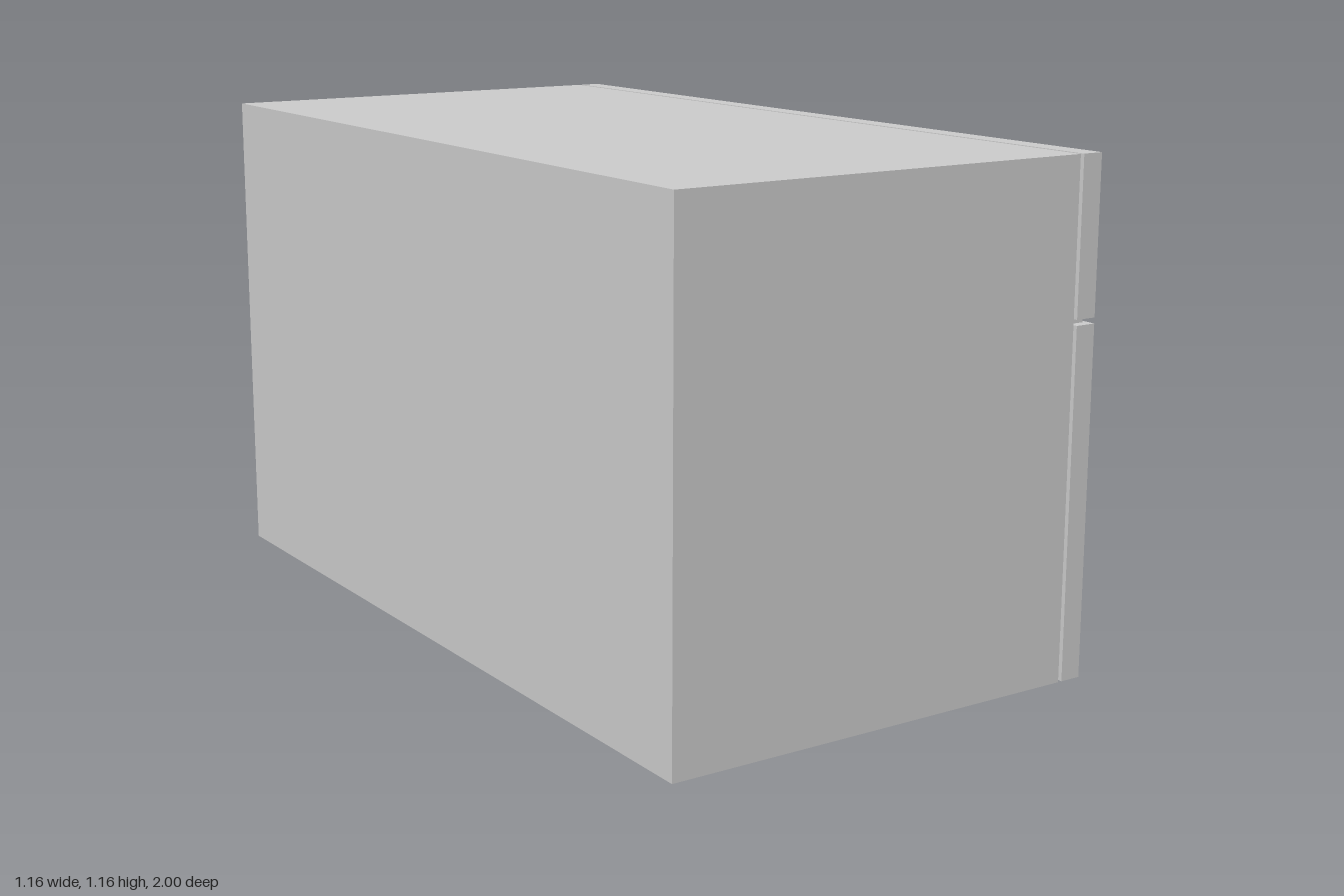
import * as THREE from 'three';

const material = new THREE.MeshStandardMaterial({ color: 0xcccccc, flatShading: true });

// Box given by its lower and upper corner
function box(name, [x0, y0, z0], [x1, y1, z1]) {
  const geometry = new THREE.BoxGeometry(x1 - x0, y1 - y0, z1 - z0);
  geometry.translate((x0 + x1) / 2, (y0 + y1) / 2, (z0 + z1) / 2);
  const mesh = new THREE.Mesh(geometry, material);
  mesh.name = name;
  return mesh;
}

// L-shaped handle: a long bar held by one post at its rear end
function handle(y) {
  const shape = new THREE.Shape([
    [0.507, 0.23], [0.507, 0.195], [0.543, 0.195], [0.543, -0.252], [0.578, -0.252], [0.578, 0.23],
  ].map(([x, z]) => new THREE.Vector2(x, z)));
  const geometry = new THREE.ExtrudeGeometry(shape, { depth: 0.04, bevelEnabled: false });
  geometry.rotateX(-Math.PI / 2);
  const mesh = new THREE.Mesh(geometry, material);
  mesh.name = 'handle';
  mesh.position.y = y;
  return mesh;
}

// Drawer front with its handle
function drawer(name, bottom, top, handleY) {
  const group = new THREE.Group();
  group.name = name;
  group.add(box('drawerFront', [0.456, bottom, -1], [0.507, top, 1]), handle(handleY));
  return group;
}

export function createModel() {
  const model = new THREE.Group();
  model.name = 'drawerCabinet';
  model.add(
    box('cabinetBody', [-0.578, 0, -1], [0.446, 1.165, 1]),
    // Recessed spacer behind the drawer fronts
    box('spacer', [0.446, 0.065, -0.98], [0.456, 1.1, 0.98]),
    // Rail seen through the slot between the drawers
    box('dividerRail', [0.446, 0.799, -0.98], [0.492, 0.81, 0.98]),
    drawer('lowerDrawer', 0, 0.798, 0.673),
    drawer('upperDrawer', 0.811, 1.165, 1.026),
  );
  return model;
}
